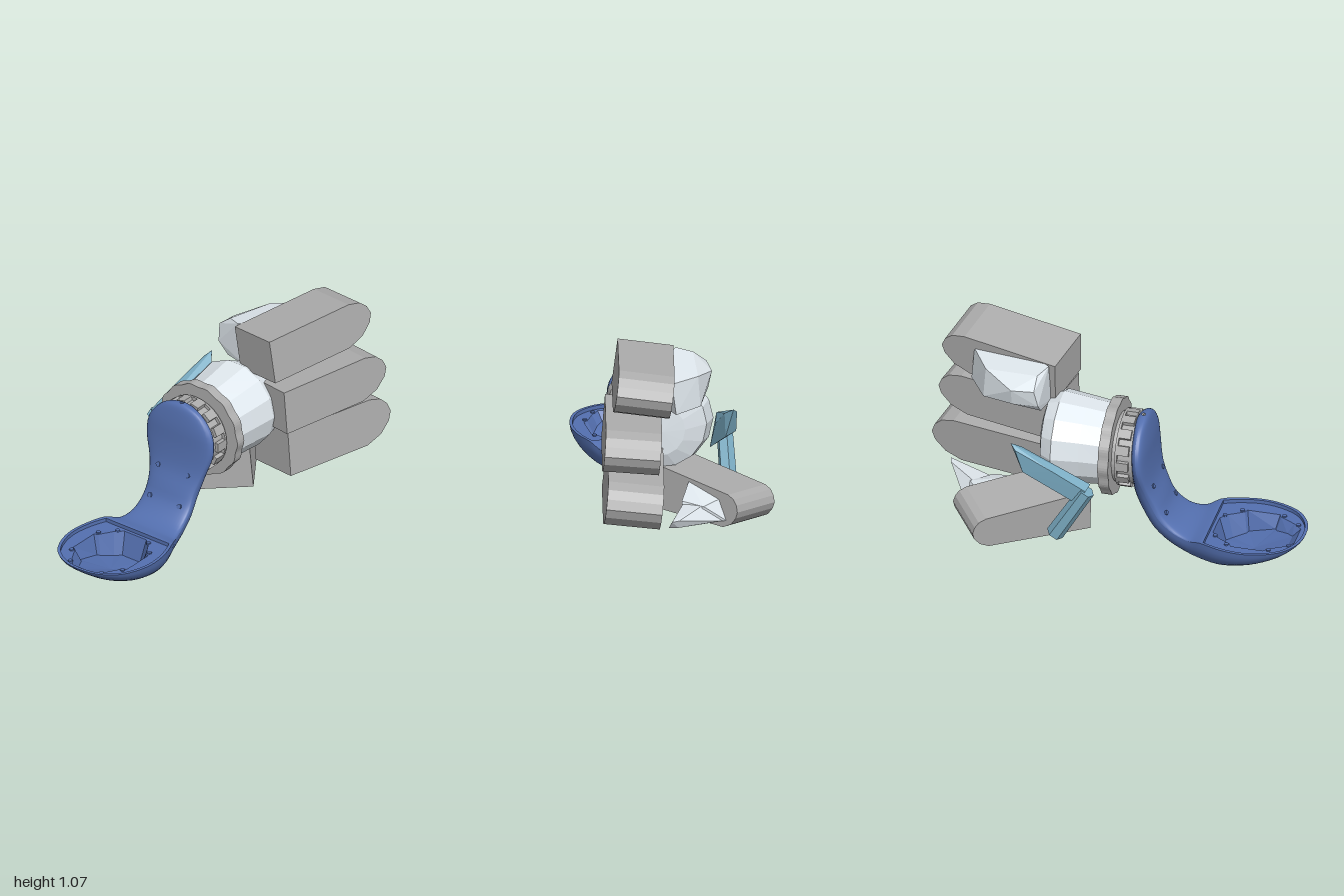
import * as THREE from 'three';
import { ConvexGeometry } from 'three/addons/geometries/ConvexGeometry.js';

const material = (color, flatShading = true) =>
  new THREE.MeshStandardMaterial({ color, flatShading, side: THREE.DoubleSide });
const blue = material(0x5470b0), blueSmooth = material(0x5470b0, false);
const grey = material(0xadadad), pale = material(0xe0e8ee), teal = material(0x7badc4);
const V = (x, y, z) => new THREE.Vector3(x, y, z);

// Skin through rows of points, all rows the same length
function loft(rows) {
  const n = rows[0].length, index = [];
  for (let i = 0; i < rows.length - 1; i++)
    for (let j = 0; j < n - 1; j++) {
      const a = i * n + j, b = a + n;
      index.push(a, b, a + 1, a + 1, b, b + 1);
    }
  const g = new THREE.BufferGeometry().setFromPoints(rows.flat());
  g.setIndex(index);
  g.computeVertexNormals();
  return g;
}

// Blue arm sections: [half width, centre z, y, outer z, y, inner z, y]
const SECTIONS = [
  [0, 1, .195, 1, .195, 1, .195],
  [.07, .993, .195, .99, .18, .993, .195],
  [.14, .965, .195, .955, .15, .965, .195],
  [.205, .91, .195, .88, .1, .91, .195],
  [.252, .81, .195, .77, .05, .81, .195],
  [.267, .71, .195, .66, .02, .71, .195],
  [.252, .6, .195, .57, .003, .6, .195],
  [.217, .5, .195, .48, .008, .5, .195],
  [.178, .43, .17, .4, .03, .44, .188],
  [.157, .345, .19, .3, .08, .37, .205],
  [.15, .27, .25, .22, .15, .3, .265],
  [.15, .225, .33, .16, .25, .265, .34],
  [.172, .19, .43, .115, .38, .225, .43],
  [.21, .165, .55, .11, .53, .205, .55],
  [.2, .155, .65, .11, .65, .198, .65],
  [.14, .15, .73, .115, .73, .185, .73],
  [.08, .15, .765, .12, .765, .175, .765],
  [.01, .15, .782, .14, .782, .16, .782],
];

function armPieces(add) {
  const curve = k => new THREE.CatmullRomCurve3(SECTIONS.map(s => V(s[0], s[k + 1], s[k])));
  const [centre, outer, inner] = [1, 3, 5].map(curve);
  const last = SECTIONS.length - 1, steps = last * 3, rimSteps = 7 * 3;
  const halfRow = (i, edge, power) => {
    const c = centre.getPoint(i / steps), e = edge.getPoint(i / steps), row = [];
    for (let j = 0; j <= 20; j++) {
      const a = Math.PI * j / 20, s = Math.pow(Math.max(0, Math.sin(a)), power);
      row.push(V(c.x * Math.cos(a), c.y + (e.y - c.y) * s, c.z + (e.z - c.z) * s));
    }
    return row;
  };
  const lower = [], upper = [], side = [];
  for (let i = 0; i <= steps; i++) {
    lower.push(halfRow(i, outer, 1));
    if (i >= rimSteps) upper.push(halfRow(i, inner, .6));
    if (i <= rimSteps) side.push(centre.getPoint(i / steps));
  }
  add('armOuterShell', loft(lower), blueSmooth);
  add('armFrontFace', loft(upper), blueSmooth);

  // Bowl rim, recessed shelf and cavity as nested loops; the floor follows the shell
  const rim = [...side, ...side.slice(1).reverse().map(p => V(-p.x, p.y, p.z))];
  rim.push(rim[0].clone());
  const scaled = (loop, k, y) => loop.map(p => V(p.x * k, y, .73 + (p.z - .73) * k));
  const half = [[.07, .955], [.11, .91], [.155, .83], [.175, .82], [.175, .65], [.155, .64], [.11, .565], [.07, .53]];
  const hole = [...half.map(p => V(p[0], .175, p[1])), ...half.slice().reverse().map(p => V(-p[0], .175, p[1]))];
  hole.push(hole[0].clone());
  const shelf = scaled(rim, .94, .175);
  add('bowlRim', loft([rim, scaled(rim, .94, .195)]), blue);
  add('bowlRimWall', loft([scaled(rim, .94, .195), shelf]), blue);
  const shape = new THREE.Shape(shelf.map(p => new THREE.Vector2(p.x, p.z)));
  shape.holes.push(new THREE.Path(hole.map(p => new THREE.Vector2(p.x, p.z))));
  add('bowlShelf', new THREE.ShapeGeometry(shape).rotateX(Math.PI / 2).translate(0, .175, 0), blue);
  const floor = scaled(hole, .82, 0);
  floor.forEach(p => { p.y = .055 + .25 * Math.max(0, p.z - .6); });
  add('cavityWalls', loft([hole, floor]), blue);
  add('cavityFloor', loft([floor, floor.map(() => V(0, .07, .73))]), blue);

  // Bolts on the shelf and on the front of the neck
  for (const x of [-1, 1]) {
    for (const [bx, bz] of [[.1, .55], [.165, .625], [.165, .845], [.1, .935]])
      add('shelfBolt', new THREE.CylinderGeometry(.012, .012, .012, 8).translate(x * bx, .176, bz), blue);
    for (const [bx, by, bz] of [[.095, .42, .224], [.095, .27, .293]])
      add('neckBolt', new THREE.CylinderGeometry(.013, .013, .014, 8).rotateX(1.2).translate(x * bx, by, bz), blue);
  }
}

// Blunt block with a rounded nose, running from the start face to the tip
function digit(start, end, width, height, roll, nose = 1, tipScale = 1) {
  const d = end.clone().sub(start), L = d.length(), h = height / 2;
  const s = new THREE.Shape([
    [L, -h], [.16, -h], [.07, -h * .72], [.015, -h * .25], [0, h * .15],
    [.02, h * .55], [.06, h * .85], [.13, h], [L, h],
  ].map(([back, v]) => {
    const u = back === L ? 0 : L - back * nose;
    return new THREE.Vector2(u, v * (1 + (tipScale - 1) * u / L));
  }));
  const g = new THREE.ExtrudeGeometry(s, { depth: width, bevelEnabled: false });
  g.translate(0, 0, -width / 2).rotateX(roll);
  d.normalize();
  const across = d.clone().cross(V(0, 1, 0)).normalize();
  const up = across.clone().cross(d);
  return g.applyMatrix4(new THREE.Matrix4().makeBasis(d, up, across).setPosition(start));
}

const hull = points => new ConvexGeometry(points.map(p => V(...p)));

export function createModel() {
  const model = new THREE.Group();
  const add = (name, geometry, mat) => {
    const mesh = new THREE.Mesh(geometry, mat);
    mesh.name = name;
    model.add(mesh);
    return mesh;
  };
  armPieces(add);

  // Scalloped wrist ring with a toothed hub in front of it
  const cy = .57, cx = .005, outline = [];
  for (let i = 0; i < 112; i++) {
    const a = i / 112 * Math.PI * 2, r = .25 + .004 * Math.cos(a * 14);
    outline.push(new THREE.Vector2(cx + r * Math.cos(a), cy + r * Math.sin(a)));
  }
  add('wristRing', new THREE.ExtrudeGeometry(new THREE.Shape(outline), { depth: .055, bevelEnabled: false }).translate(0, 0, -.03), grey);
  const disc = (r, depth, z) => new THREE.CylinderGeometry(r, r, depth, 32).rotateX(Math.PI / 2).translate(cx, cy, z);
  add('wristHub', disc(.182, .12, .075), grey);
  add('hubFlange', disc(.2, .012, .05), grey);
  for (let i = 0; i < 14; i++)
    add('hubTooth', new THREE.BoxGeometry(.03, .05, .06).translate(.185, 0, 0)
      .rotateZ(i / 14 * Math.PI * 2).translate(cx, cy, .085), grey);

  // Faceted palm: rings of [z, x radius, y radius, x centre, y centre]
  const palm = [[-.02, .21, .215, .01, .575], [-.14, .225, .225, .01, .58], [-.28, .245, .238, .005, .585],
    [-.345, .21, .215, .02, .58], [-.375, .12, .13, .05, .57], [-.38, .001, .001, .05, .57]];
  add('palm', loft(palm.map(([z, rx, ry, x, y]) => Array.from({ length: 15 }, (_, j) => {
    const a = j / 14 * Math.PI * 2;
    return V(x + rx * Math.cos(a), y + ry * Math.sin(a), z);
  }))), pale);

  // Fingers and thumb
  add('upperFinger', digit(V(.13, .912, -.28), V(.27, .95, -.91), .285, .235, -.13), grey);
  add('middleFinger', digit(V(.195, .633, -.305), V(.34, .648, -.945), .285, .235, -.08), grey);
  add('lowerFinger', digit(V(.195, .376, -.335), V(.34, .37, -.98), .285, .245, -.11), grey);
  add('thumb', digit(V(.005, .25, -.18), V(-.36, .234, -.705), .285, .235, -.09, .55, .72), grey);
  add('upperFingertip', hull([
    [-.18, .94, -.38], [-.17, .85, -.36], [-.18, .93, -.5], [-.16, .84, -.5], [-.11, .79, -.36],
    [.02, .78, -.34], [-.03, 1.01, -.34], [-.11, .995, -.38], [-.08, .81, -.67], [-.07, .97, -.66],
    [.07, .815, -.77], [.09, .98, -.76], [.08, .78, -.58], [.1, 1.01, -.5],
  ]), pale);
  add('thumbTip', hull([
    [-.2, .17, -.6], [-.2, .3, -.66], [-.03, .155, -.57], [-.06, .34, -.5],
    [-.2, .2, -.73], [-.08, .29, -.74], [.02, .18, -.72], [.01, .29, -.64],
  ]), pale);
  add('thumbTipPoint', hull([
    [-.18, .2, -.73], [-.08, .29, -.72], [.02, .18, -.7], [.01, .28, -.66],
    [.08, .235, -.86], [.13, .24, -.86], [.12, .28, -.89], [.08, .28, -.88],
  ]), pale);

  // Side lever: arm plate and hexagonal grip rod
  add('leverPlate', hull([
    [-.37, .51, -.06], [-.31, .52, -.05], [-.3, .4, -.14], [-.36, .43, -.12], [-.235, .4, -.22], [-.25, .55, -.28],
    [-.35, .59, -.24], [-.325, .67, -.44], [-.3, .695, -.47], [-.265, .66, -.42], [-.27, .53, -.42], [-.33, .55, -.4],
  ]), teal);
  const top = V(-.345, .5, -.06), foot = V(-.33, .21, -.23), axis = top.clone().sub(foot);
  const rod = add('leverGrip', new THREE.CylinderGeometry(.042, .046, axis.length(), 6), teal);
  rod.position.copy(top).add(foot).multiplyScalar(.5);
  rod.quaternion.setFromUnitVectors(V(0, 1, 0), axis.normalize());
  return model;
}
